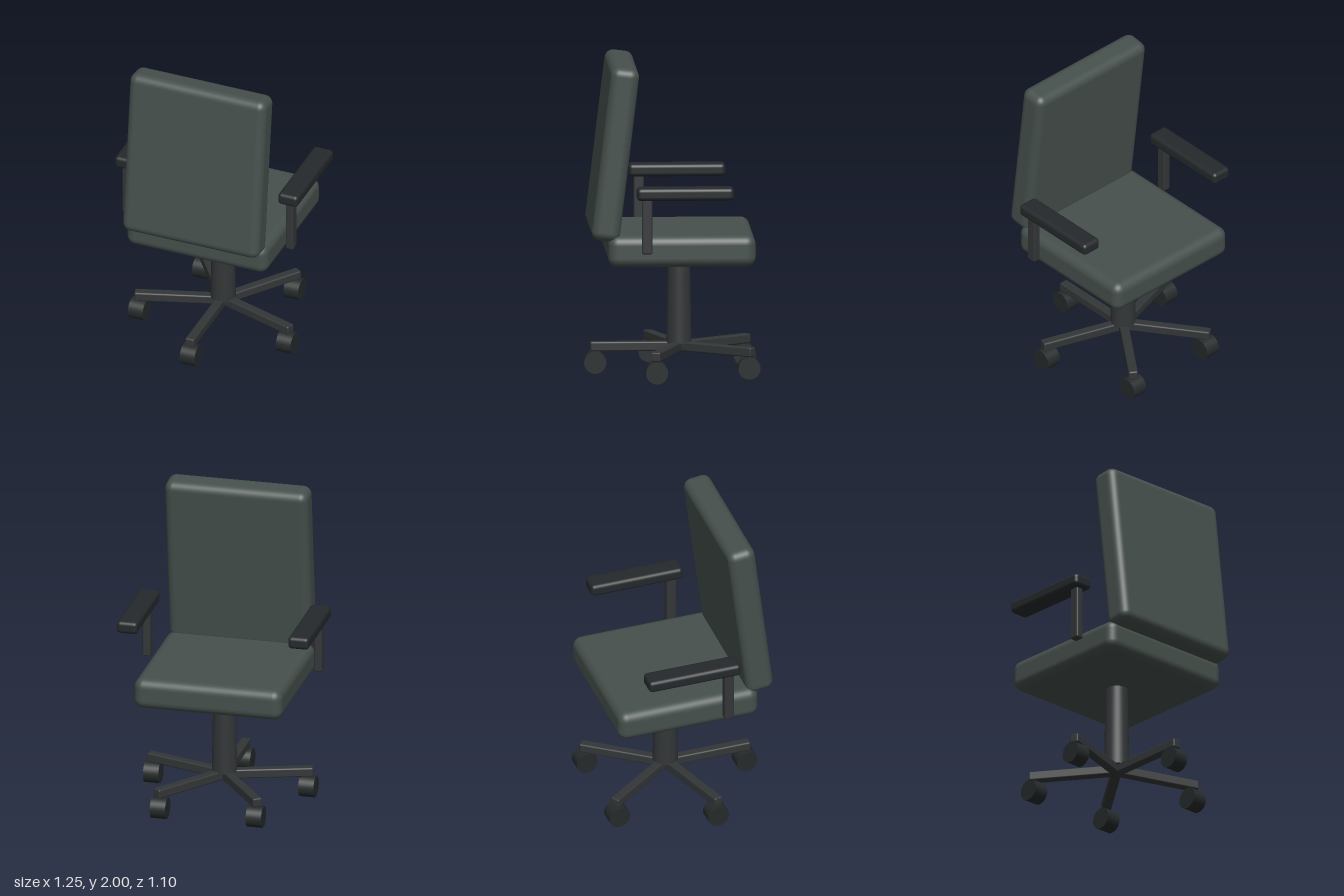
import * as THREE from 'three';
import { RoundedBoxGeometry } from 'three/addons/geometries/RoundedBoxGeometry.js';

const material = (color) => new THREE.MeshStandardMaterial({ color });

export function createModel() {
  const chair = new THREE.Group();
  chair.name = 'officeChair';

  const fabric = material(0x46504c);
  const armPad = material(0x25292b);
  const frame = material(0x333637);
  const rubber = material(0x262a2a);

  const add = (name, geometry, mat, x, y, z, parent = chair) => {
    const mesh = new THREE.Mesh(geometry, mat);
    mesh.name = name;
    mesh.position.set(x, y, z);
    parent.add(mesh);
    return mesh;
  };
  const rounded = (w, h, d, r, segments = 4) => new RoundedBoxGeometry(w, h, d, segments, r);

  const axisZ = -0.05; // the column, base and seat share this axis

  // Cushions: the backrest leans over the seat
  add('seat', rounded(0.96, 0.2, 0.93, 0.06), fabric, 0, 0.83, axisZ);
  const back = add('backrest', rounded(0.93, 1.108, 0.18, 0.055), fabric, 0, 1.445, 0.37);
  back.rotation.x = -0.12;

  // Armrests, mirrored left and right
  for (const side of [1, -1]) {
    const arm = new THREE.Group();
    arm.name = side > 0 ? 'leftArmrest' : 'rightArmrest';
    chair.add(arm);
    add('armPad', rounded(0.136, 0.08, 0.612, 0.025), armPad, side * 0.557, 1.215, -0.063, arm);
    add('armPost', rounded(0.052, 0.37, 0.065, 0.01, 2), frame, side * 0.557, 1.017, 0.177, arm);
  }

  // Tapered column
  add('column', new THREE.CylinderGeometry(0.07, 0.08, 0.56, 32), frame, 0, 0.47, axisZ);

  // Five-star base with a wheel under each leg; all wheels roll along z
  const legLength = 0.56;
  const wheelReach = 0.53;
  const legGeometry = rounded(0.06, 0.06, legLength, 0.01, 2);
  const wheelGeometry = new THREE.CylinderGeometry(0.07, 0.07, 0.1, 28).rotateZ(Math.PI / 2);
  for (let i = 0; i < 5; i++) {
    const angle = (i * Math.PI * 2) / 5;
    const dx = Math.sin(angle);
    const dz = Math.cos(angle);
    const leg = add('baseLeg', legGeometry, frame, (dx * legLength) / 2, 0.17, axisZ + (dz * legLength) / 2);
    leg.rotation.y = angle;
    add('wheel', wheelGeometry, rubber, dx * wheelReach, 0.07, axisZ + dz * wheelReach);
  }

  return chair;
}
